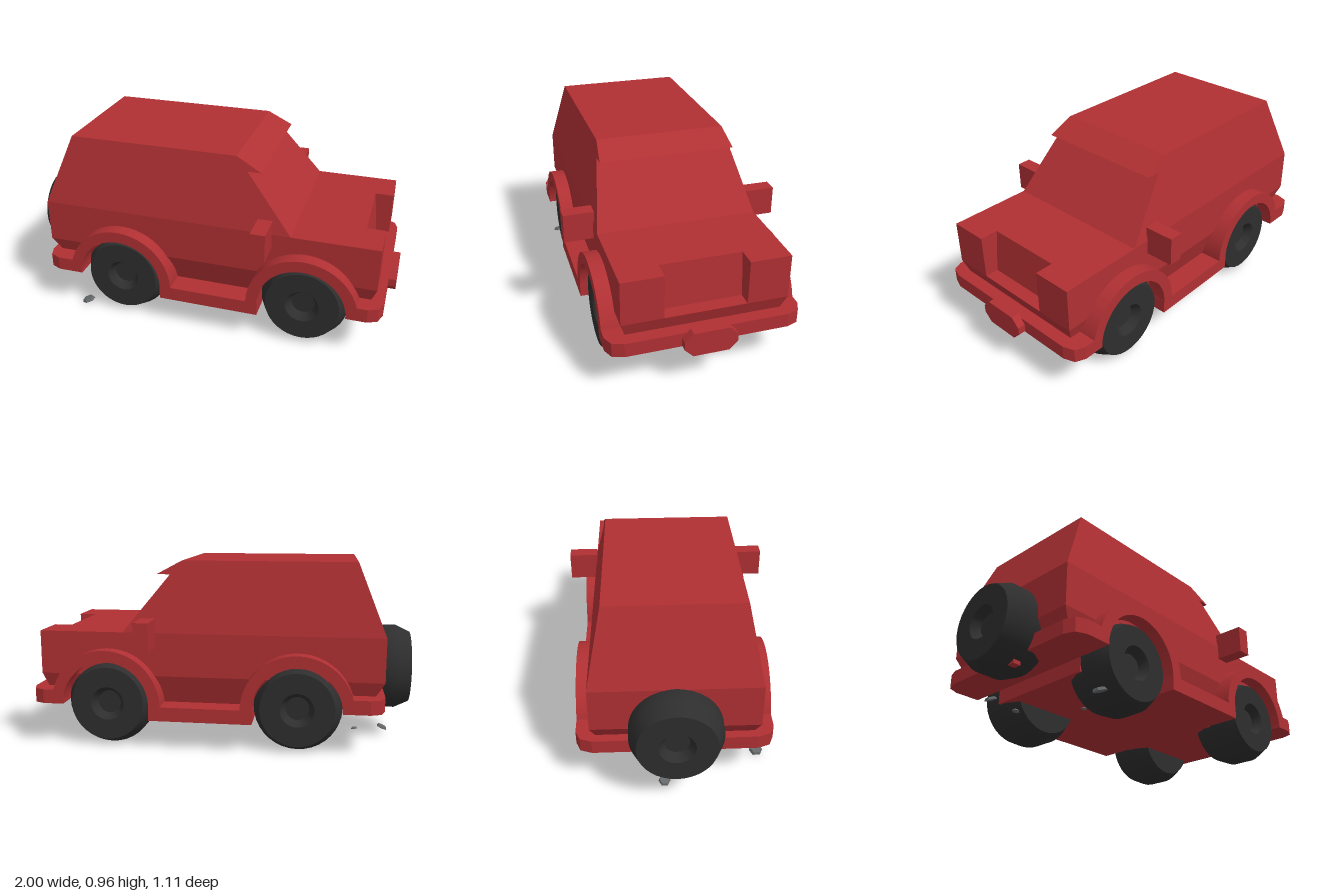
import * as THREE from 'three';
import { toCreasedNormals } from 'three/addons/utils/BufferGeometryUtils.js';

const paint = new THREE.MeshStandardMaterial({ color: 0xb03033 });
paint.name = 'red paint';
const rubber = new THREE.MeshStandardMaterial({ color: 0x2e2e2e });
rubber.name = 'dark rubber';
const stone = new THREE.MeshStandardMaterial({ color: 0x66696b });
stone.name = 'grey stone';

const shapeOf = (pts) => new THREE.Shape(pts.map(([x, y]) => new THREE.Vector2(x, y)));

// Extrude a side outline (x, y) between two depths
function extrudeZ(shape, z0, z1, curveSegments = 24) {
  return new THREE.ExtrudeGeometry(shape, { depth: z1 - z0, bevelEnabled: false, curveSegments }).translate(0, 0, z0);
}

// Extrude a plan outline (x, z), symmetric in z, between two heights
function extrudeY(pts, y0, y1) {
  return extrudeZ(shapeOf(pts), 0, y1 - y0).rotateX(-Math.PI / 2).translate(0, y0, 0);
}

// Move every vertex by a rule and refresh the flat normals
function reshape(geometry, rule) {
  const p = geometry.attributes.position;
  const v = new THREE.Vector3();
  for (let i = 0; i < p.count; i++) {
    rule(v.fromBufferAttribute(p, i));
    p.setXYZ(i, v.x, v.y, v.z);
  }
  geometry.computeVertexNormals();
  return geometry;
}

function box(x0, x1, y0, y1, z0, z1) {
  return new THREE.BoxGeometry(x1 - x0, y1 - y0, z1 - z0)
    .translate((x0 + x1) / 2, (y0 + y1) / 2, (z0 + z1) / 2);
}

export function createModel() {
  const car = new THREE.Group();
  car.name = 'offRoadCar';
  const add = (name, geometry, material = paint) => {
    const mesh = new THREE.Mesh(geometry, material);
    mesh.name = name;
    car.add(mesh);
    return mesh;
  };

  // Cabin with overhanging sun visor, sides leaning inwards
  const cabin = extrudeZ(shapeOf([
    [-0.85, 0.595], [0.48, 0.595], [0.24, 0.89], [0.31, 0.89], [0.18, 0.96], [-0.705, 0.96],
  ]), -1, 1);
  add('cabin', reshape(cabin, (v) => { v.z *= 0.408 - (v.y - 0.595) * 0.205; }));

  // Middle of the body with the grille recess, its back leaning rearwards
  const middle = extrudeY([
    [-0.85, -0.408], [0.92, -0.408], [0.92, -0.203], [0.85, -0.203],
    [0.85, 0.203], [0.92, 0.203], [0.92, 0.408], [-0.85, 0.408],
  ], 0.37, 0.595);
  add('bodyAndHood', reshape(middle, (v) => {
    if (Math.abs(v.x - 0.85) < 0.001 && v.y > 0.5) v.x = 0.825;
  }));

  // Lower body tucking in below the waist
  add('lowerBody', reshape(box(-0.85, 0.92, 0.225, 0.37, -0.408, 0.408), (v) => {
    if (v.y < 0.3) {
      v.x = v.x < 0 ? -0.765 : 0.87;
      v.z = Math.sign(v.z) * 0.36;
    }
  }).toNonIndexed());

  // Floor and side steps
  add('floor', box(-0.645, 0.785, 0.152, 0.26, -0.295, 0.295));
  add('sideSteps', box(-0.195, 0.335, 0.152, 0.225, -0.48, 0.48));

  // Bumpers wrapping round to the wheel arches
  add('frontBumper', extrudeY([
    [0.785, -0.48], [0.89, -0.48], [0.94, -0.457], [0.96, -0.4],
    [0.96, 0.4], [0.94, 0.457], [0.89, 0.48], [0.785, 0.48],
  ], 0.225, 0.298));
  add('rearBumper', extrudeY([
    [-0.645, 0.48], [-0.78, 0.48], [-0.833, 0.457], [-0.853, 0.4],
    [-0.853, -0.4], [-0.833, -0.457], [-0.78, -0.48], [-0.645, -0.48],
  ], 0.225, 0.298));

  // Eight-sided plate on the front bumper
  const plate = extrudeZ(shapeOf([
    [-0.13, -0.02], [-0.088, -0.063], [0.088, -0.063], [0.13, -0.02],
    [0.13, 0.02], [0.088, 0.063], [-0.088, 0.063], [-0.13, 0.02],
  ]), 0, 0.045).rotateY(Math.PI / 2).translate(0.955, 0.252, 0);
  add('frontPlate', plate);

  // Tyre with chamfered shoulders and a dished hub, outer face towards +y
  const wheel = toCreasedNormals(new THREE.LatheGeometry([
    [0, -0.13], [0.19, -0.13], [0.225, -0.055], [0.225, 0.055], [0.19, 0.13],
    [0.087, 0.13], [0.065, 0.1], [0.06, 0.085], [0, 0.085],
  ].map(([r, y]) => new THREE.Vector2(r, y)), 36), 0.5);

  // Arches, wheels and mirrors on both sides
  for (const side of [1, -1]) {
    const sideName = side > 0 ? 'PlusZ' : 'MinusZ';
    for (const [end, x] of [['rear', -0.42], ['front', 0.56]]) {
      const arch = new THREE.Shape();
      arch.absarc(0, 0, 0.285, 0, Math.PI, false);
      arch.absarc(0, 0, 0.226, Math.PI, 0, true);
      const z0 = side > 0 ? 0.295 : -0.48;
      add(end + 'Arch' + sideName,
        toCreasedNormals(extrudeZ(arch, z0, z0 + 0.185).translate(x, 0.225, 0), 0.5));
      const tyre = add(end + 'Wheel' + sideName, wheel, rubber);
      tyre.rotation.x = side * Math.PI / 2;
      tyre.position.set(x, 0.225, side * 0.315);
    }
    add('mirror' + sideName, box(0.31, 0.385, 0.52, 0.668, -0.0775, 0.0775)).position.z = side * 0.478;
  }

  // Spare wheel on the back
  const spare = add('spareWheel', wheel, rubber);
  spare.rotation.z = Math.PI / 2;
  spare.position.set(-0.87, 0.375, 0);
  add('spareBracket', box(-0.89, -0.85, 0.165, 0.185, 0.07, 0.12));

  // Pebbles thrown up behind the wheels
  const pebbles = [
    [-0.87, 0.045, -0.055, 0.03, 0.4], [-0.65, 0.02, 0.43, 0.036, 0.3],
    [-0.72, 0.03, -0.055, 0.018, -0.2], [-0.54, 0.02, 0.22, 0.014, -0.2],
  ];
  for (const [x, y, z, size, tilt] of pebbles) {
    const chip = add('pebble', new THREE.CylinderGeometry(size * 0.8, size, size * 0.4, 6).toNonIndexed(), stone);
    chip.geometry.computeVertexNormals();
    chip.position.set(x, y, z);
    chip.rotation.z = tilt;
  }
  return car;
}
